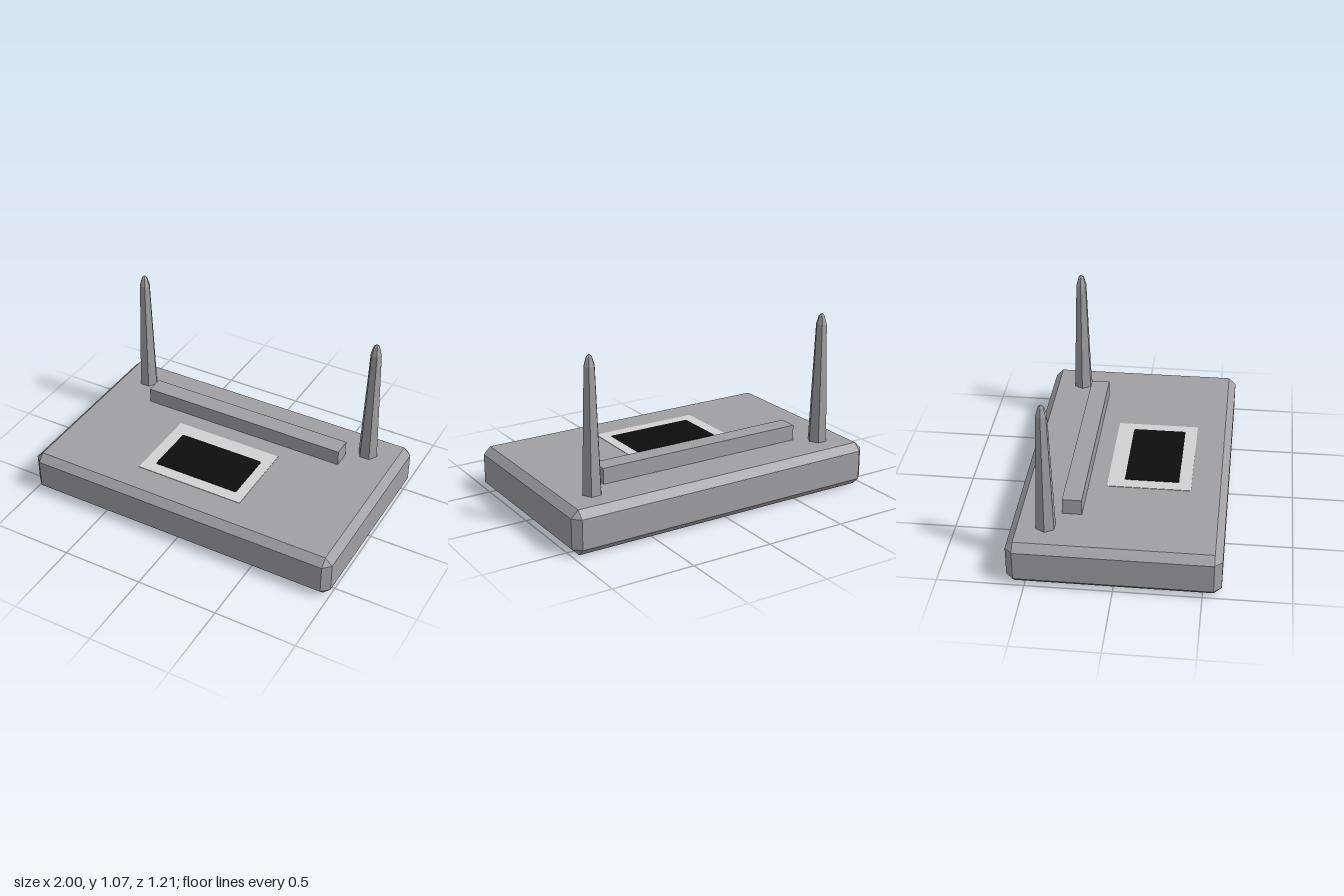
import * as THREE from 'three';
import { ConvexGeometry } from 'three/addons/geometries/ConvexGeometry.js';

const mat = (name, color, flat = false) => {
  const m = new THREE.MeshStandardMaterial({ color, flatShading: flat });
  m.name = name;
  return m;
};

// Box with every edge and corner cut by c
function chamferedBox(w, h, d, c) {
  const points = [];
  for (const x of [-1, 1]) for (const y of [-1, 1]) for (const z of [-1, 1]) {
    const X = x * w / 2, Y = y * h / 2, Z = z * d / 2;
    points.push(
      new THREE.Vector3(X, Y - y * c, Z - z * c),
      new THREE.Vector3(X - x * c, Y, Z - z * c),
      new THREE.Vector3(X - x * c, Y - y * c, Z));
  }
  return new ConvexGeometry(points);
}

// Flat rounded rectangle lying in the xz plane
function flatPlate(w, d, r) {
  const s = new THREE.Shape();
  const x = w / 2, y = d / 2;
  s.moveTo(-x + r, -y);
  s.lineTo(x - r, -y).quadraticCurveTo(x, -y, x, -y + r);
  s.lineTo(x, y - r).quadraticCurveTo(x, y, x - r, y);
  s.lineTo(-x + r, y).quadraticCurveTo(-x, y, -x, y - r);
  s.lineTo(-x, -y + r).quadraticCurveTo(-x, -y, -x + r, -y);
  return new THREE.ExtrudeGeometry(s, { depth: 0.003, bevelEnabled: false, curveSegments: 4 })
    .rotateX(-Math.PI / 2);
}

export function createModel() {
  const group = new THREE.Group();
  const grey = mat('casing grey', 0xa0a0a3, true);
  const light = mat('label light grey', 0xd2d2d2);
  const black = mat('label black', 0x0d0d0d);
  const top = 0.267;

  const add = (name, geometry, material, x, y, z) => {
    const mesh = new THREE.Mesh(geometry, material);
    mesh.name = name;
    mesh.position.set(x, y, z);
    group.add(mesh);
  };

  // Casing and the raised bar across it
  add('casing', chamferedBox(2, top, 1.212, 0.044), grey, 0, top / 2, 0);
  add('rearBar', new THREE.BoxGeometry(1.33, 0.116, 0.113), grey, 0.003, 0.305, -0.269);

  // Tapered six-sided antennas with rounded tips
  const profile = [[0, -0.02], [0.06, -0.02], [0.06, 0], [0.034, 0.735], [0.018, 0.787], [0, 0.803]]
    .map(([r, y]) => new THREE.Vector2(r, y));
  const antenna = new THREE.LatheGeometry(profile, 6).rotateY(Math.PI / 2);
  add('rightAntenna', antenna, grey, -0.79, top, -0.4);
  add('leftAntenna', antenna, grey, 0.783, top, -0.4);

  // Label on the top face
  add('labelPlate', new THREE.BoxGeometry(0.69, 0.003, 0.495), light, -0.025, top + 0.0015, 0.143);
  add('labelPanel', flatPlate(0.55, 0.322, 0.012), black, -0.02, top + 0.003, 0.155);

  return group;
}
